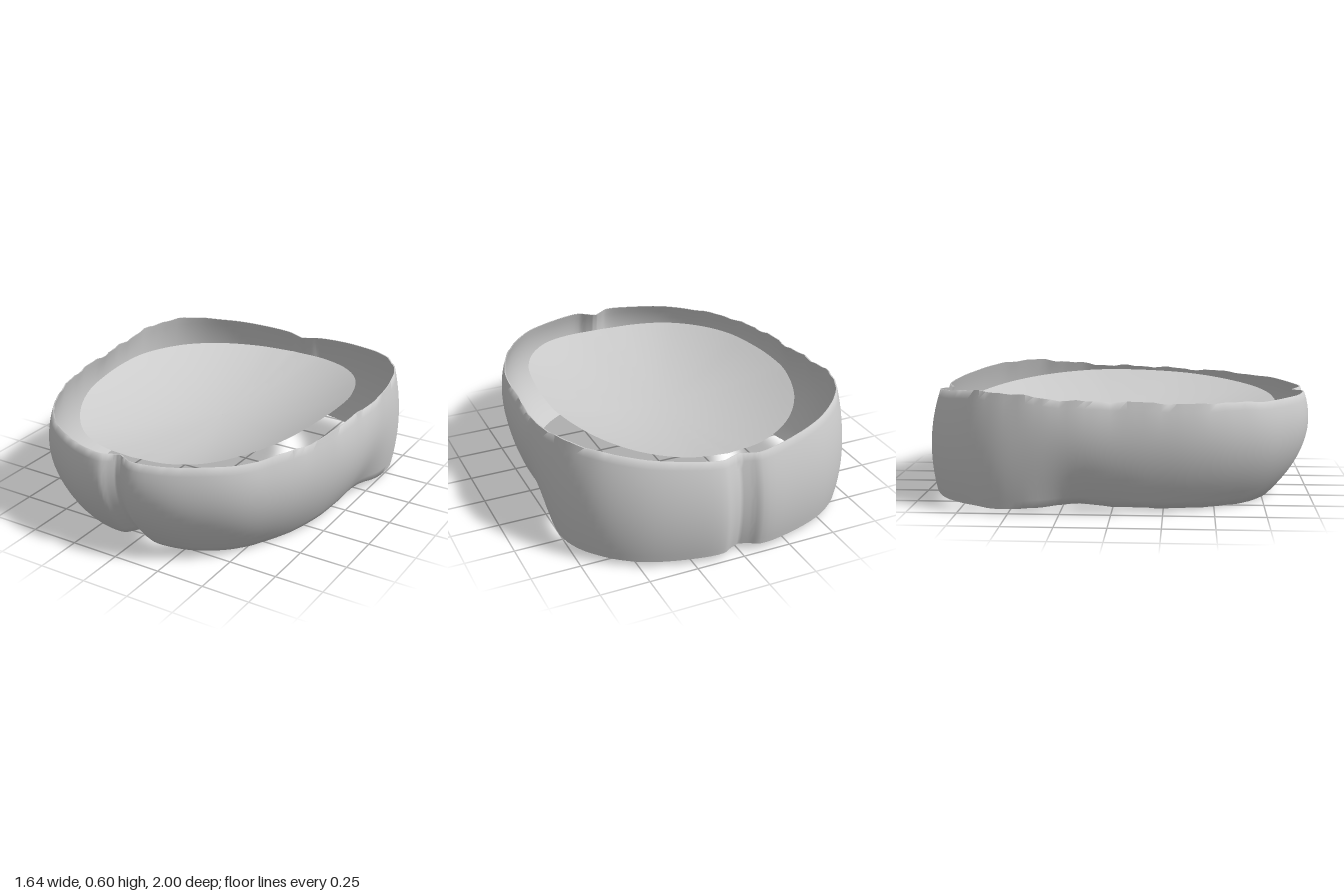
import * as THREE from 'three';
import { toCreasedNormals } from 'three/addons/utils/BufferGeometryUtils.js';

const HALF = 90; // samples along one half of an outline

// Samples the +x half of an outline (front to rear) and mirrors it to a closed loop.
function mirroredLoop(points) {
  const curve = new THREE.CatmullRomCurve3(points.map(p => new THREE.Vector3(p[0], p[2] ?? 0, p[1])), false, 'centripetal');
  const half = curve.getPoints(HALF);
  const other = half.slice(1, -1).reverse().map(p => new THREE.Vector3(-p.x, p.y, p.z));
  return [...half, ...other];
}

// Builds a surface from loops that each run around the y axis.
function skinLoops(loops, closeSection) {
  const n = loops[0].length, m = loops.length;
  const index = [];
  for (let j = 0; j < (closeSection ? m : m - 1); j++) {
    for (let i = 0; i < n; i++) {
      const i2 = (i + 1) % n, j2 = (j + 1) % m;
      const a = j * n + i, b = j * n + i2, c = j2 * n + i2, d = j2 * n + i;
      index.push(a, b, c, a, c, d);
    }
  }
  const geo = new THREE.BufferGeometry().setFromPoints(loops.flat());
  geo.setIndex(index);
  return geo;
}

// Outlines as [x, z, y], front to rear, with a notch at either end
const BOTTOM = [
  [0, 0.78, 0.045], [0.045, 0.79, 0.025], [0.09, 0.8, 0.01], [0.24, 0.78, 0.005], [0.37, 0.71, 0], [0.47, 0.62, 0],
  [0.555, 0.5, 0.005], [0.625, 0.35, 0.01], [0.675, 0.18, 0.02], [0.695, 0, 0.03], [0.71, -0.19, 0.045],
  [0.76, -0.38, 0.03], [0.75, -0.57, 0.025], [0.66, -0.74, 0.03], [0.51, -0.86, 0.025], [0.3, -0.94, 0.025],
  [0.1, -0.975, 0.03], [0.05, -0.95, 0.03], [0, -0.93, 0.03],
];
const MIDDLE = [
  [0, 0.94], [0.045, 0.965], [0.09, 0.99], [0.26, 0.963], [0.44, 0.87], [0.575, 0.755], [0.68, 0.59], [0.75, 0.4],
  [0.79, 0.2], [0.81, 0], [0.817, -0.2], [0.81, -0.4], [0.773, -0.58], [0.675, -0.75], [0.51, -0.877], [0.3, -0.957],
  [0.1, -0.99], [0.05, -0.968], [0, -0.95],
];
const TOP = [
  [0, 0.925, 0.52], [0.045, 0.95, 0.522], [0.09, 0.973, 0.525], [0.25, 0.94, 0.525], [0.43, 0.85, 0.53],
  [0.56, 0.735, 0.53], [0.66, 0.575, 0.54], [0.735, 0.39, 0.54], [0.77, 0.2, 0.55], [0.78, 0, 0.555],
  [0.797, -0.2, 0.56], [0.787, -0.4, 0.58], [0.74, -0.57, 0.592], [0.635, -0.72, 0.585], [0.48, -0.835, 0.565],
  [0.29, -0.91, 0.545], [0.1, -0.943, 0.525], [0.05, -0.925, 0.522], [0, -0.905, 0.52],
];
const PANEL = [
  [0, 0.83], [0.2, 0.81], [0.36, 0.74], [0.5, 0.59], [0.6, 0.385], [0.645, 0.15], [0.658, -0.05], [0.645, -0.22],
  [0.55, -0.48], [0.4, -0.66], [0.2, -0.77], [0, -0.8],
];

// Irregular ripple, strongest on the flanks
const ripple = p => Math.abs(p.x) ** 3 * (Math.sin(p.z * 23 + p.x * 2) + 0.7 * Math.sin(p.z * 51 + p.x * 3));

function makeBand() {
  const bottom = mirroredLoop(BOTTOM), middle = mirroredLoop(MIDDLE), top = mirroredLoop(TOP);
  // Wall bulges through the three outlines at heights 0, 0.6 and 1
  const wall = (v, scale) => bottom.map((b, i) => {
    const m = middle[i], t = top[i];
    const wb = (v - 0.6) * (v - 1) / 0.6, wm = v * (1 - v) / 0.24, wt = v * (v - 0.6) / 0.4;
    const edge = Math.abs(2 * v - 1) ** 3;
    const dent = 1 + 0.005 * edge * ripple(m);
    return new THREE.Vector3(
      (b.x * wb + m.x * wm + t.x * wt) * scale * dent,
      b.y + (t.y - b.y) * v + 0.008 * edge * (v > 0.5 ? 1 : 0.5) * ripple(m),
      (b.z * wb + m.z * wm + t.z * wt) * scale);
  });
  const steps = 14, loops = [];
  for (let j = 0; j <= steps; j++) loops.push(wall(j / steps, 1));
  for (let j = steps; j >= 0; j--) loops.push(wall(j / steps, 0.993));
  return skinLoops(loops, true);
}

function makePanel() {
  const rim = mirroredLoop(PANEL), loops = [];
  // Shallow bowl hung from a rim that is higher at the sides than at the ends
  const height = (x, z) => 0.5 + 0.085 * x * x + 0.015 * x - 0.05 * z * z;
  const depth = 0.13;
  for (let j = 0; j <= 16; j++) {
    const s = Math.max(1 - j / 16, 0.002);
    loops.push(rim.map(p => new THREE.Vector3(p.x * s, height(p.x * s, p.z * s) - depth * (1 - s * s), p.z * s)));
  }
  const geo = skinLoops(loops, false);
  geo.computeVertexNormals();
  return geo;
}

export function createModel() {
  const group = new THREE.Group();
  const material = new THREE.MeshStandardMaterial({ color: 0xcccccc, side: THREE.DoubleSide });

  // Bulging oval wall, notched front and rear
  const band = new THREE.Mesh(toCreasedNormals(makeBand(), 1.3), material);
  band.name = 'band';

  // Thin dished panel hanging inside the band
  const panel = new THREE.Mesh(makePanel(), material);
  panel.name = 'innerPanel';

  group.add(band, panel);
  return group;
}
